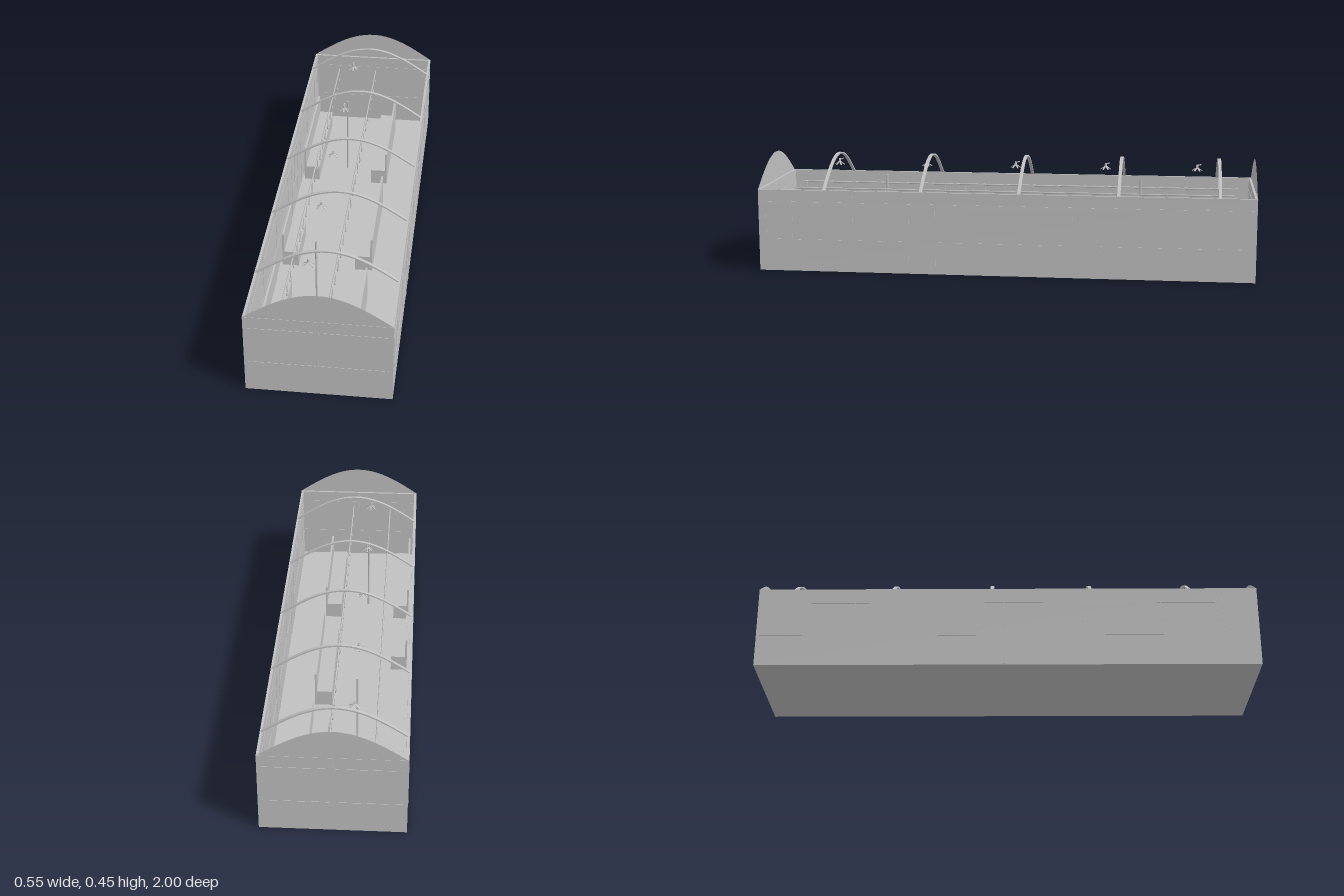
import * as THREE from 'three';

const W = 0.271, L = 0.998, H = 0.333, T = 0.01, RISE = 0.117;

export function createModel() {
  const root = new THREE.Group();
  root.name = 'carriage';
  const grey = new THREE.MeshStandardMaterial({ color: 0xc0c0c0, side: THREE.DoubleSide });
  grey.name = 'plain grey';

  const add = (name, geo, x = 0, y = 0, z = 0, parent = root) => {
    const m = new THREE.Mesh(geo, grey);
    m.name = name;
    m.position.set(x, y, z);
    parent.add(m);
    return m;
  };
  // Box given by its minimum and maximum corners
  const box = (name, x0, x1, y0, y1, z0, z1, parent) =>
    add(name, new THREE.BoxGeometry(x1 - x0, y1 - y0, z1 - z0),
      (x0 + x1) / 2, (y0 + y1) / 2, (z0 + z1) / 2, parent);

  // Shell
  box('floor', -W, W, 0, 0.004, -L, L);
  for (const s of [-1, 1]) {
    add('sideWall', new THREE.BoxGeometry(T, H, 2 * L), s * (W - T / 2), H / 2, 0);
    add('endWall', new THREE.BoxGeometry(2 * (W - T), H, T), 0, H / 2, s * (L - T / 2));
  }

  // Roof curve shared by the gables and the hoops
  const roofPoints = (half, rise) => {
    const pts = [];
    for (let i = 0; i <= 28; i++) {
      const t = -1 + i / 14;
      pts.push(new THREE.Vector2(t * half, H + rise * Math.cos(t * Math.PI / 2)));
    }
    return pts;
  };
  const gable = new THREE.ShapeGeometry(new THREE.Shape(roofPoints(W, RISE)));
  for (const s of [-1, 1]) add('gable', gable, 0, 0, s * (L - 0.001));

  const hoop = new THREE.ExtrudeGeometry(
    new THREE.Shape([...roofPoints(W - 0.003, RISE), ...roofPoints(W - 0.012, RISE - 0.006).reverse()]),
    { depth: 0.013, bevelEnabled: false });
  for (let i = 0; i < 5; i++) add('roofHoop', hoop, 0, 0, 0.72 - i * 0.395);

  // Raised strips, running through the wall so both faces show them
  const P = 0.0015;
  const sideStrip = (s, y0, y1, z0, z1, name = 'sideTrim') => {
    const a = s * (W + P), b = s * (W - T - P);
    box(name, Math.min(a, b), Math.max(a, b), y0, y1, z0, z1);
  };
  const endStrip = (s, x0, x1, y0, y1) => {
    const a = s * (L + P), b = s * (L - T - P);
    box('endTrim', x0, x1, y0, y1, Math.min(a, b), Math.max(a, b));
  };
  for (const s of [-1, 1]) {
    for (const h of [-1, 1]) {
      const x0 = h < 0 ? -0.255 : 0.01, x1 = h < 0 ? -0.01 : 0.255;
      endStrip(s, x0, x1, 0.27, 0.285);
      endStrip(s, x0, x1, 0.127, 0.131);
    }
    endStrip(s, -0.002, 0.002, 0.13, 0.32);
  }

  // Doors and window trim along each side
  const sides = [
    { s: 1, doors: [0.33, -0.33], posts: [0.97, 0.86, 0.61, 0.06, -0.61, -0.86, -0.97] },
    { s: -1, doors: [-0.07, -0.335], posts: [0.97, 0.86, 0.61, 0.3, -0.2, -0.61, -0.86, -0.97] },
  ];
  for (const { s, doors, posts } of sides) {
    sideStrip(s, 0.27, 0.285, -0.985, 0.985);
    let start = -0.985;
    for (const d of [...doors].sort((a, b) => a - b)) {
      sideStrip(s, 0.127, 0.131, start, d - 0.056);
      start = d + 0.056;
      for (const e of [-1, 1]) {
        const z = d + e * 0.054;
        sideStrip(s, 0.005, 0.28, z - 0.003, z + 0.003, 'doorPost');
      }
    }
    sideStrip(s, 0.127, 0.131, start, 0.985);
    for (const z of posts) sideStrip(s, 0.13, 0.315, z - 0.002, z + 0.002, 'windowPost');
  }

  // Benches: seat with a thin backrest
  const bench = (front, back, z0, z1) => {
    const g = new THREE.Group();
    g.name = 'bench';
    root.add(g);
    const d = Math.sign(front - back);
    box('benchSeat', Math.min(front, back), Math.max(front, back), 0.004, 0.07, z0, z1, g);
    const inner = back + d * 0.008;
    box('benchBack', Math.min(inner, back), Math.max(inner, back), 0.07, 0.155, z0, z1, g);
  };
  for (const [z0, z1] of [[-0.91, -0.42], [0.02, 0.235], [0.42, 0.885]]) bench(-0.183, -0.25, z0, z1);
  for (const [z0, z1] of [[-0.91, -0.42], [-0.245, 0.235], [0.42, 0.885]]) bench(0.05, 0.12, z0, z1);

  // Grab rails with hanging straps
  const rail = new THREE.CylinderGeometry(0.003, 0.003, 1.84, 8).rotateX(Math.PI / 2);
  const strap = new THREE.BoxGeometry(0.003, 0.045, 0.004);
  const ring = new THREE.TorusGeometry(0.008, 0.0022, 5, 12).rotateY(Math.PI / 2);
  for (const x of [-0.15, 0.02]) {
    add('grabRail', rail, x, 0.3, 0);
    for (let i = 0; i < 22; i++) {
      const z = -0.91 + i * 1.82 / 21;
      add('strap', strap, x, 0.278, z);
      add('strapRing', ring, x, 0.248, z);
    }
  }

  // Floor poles
  for (const z of [-0.535, 0.535])
    add('pole', new THREE.CylinderGeometry(0.004, 0.004, 0.346, 10), -0.067, 0.177, z);

  // Ceiling fans with drooping blades
  for (let i = 0; i < 5; i++) {
    const fan = new THREE.Group();
    fan.name = 'fan';
    fan.position.set(-0.067, 0.402, 0.74 - i * 0.3765);
    root.add(fan);
    add('fanHub', new THREE.CylinderGeometry(0.004, 0.005, 0.018, 8), 0, 0.004, 0, fan);
    const arm = add('fanArm', new THREE.BoxGeometry(0.004, 0.004, 0.018), 0, 0.011, -0.008, fan);
    arm.rotation.x = 0.3;
    const blade = new THREE.BoxGeometry(0.026, 0.002, 0.006).translate(0.013, 0, 0).rotateZ(-0.6);
    for (let k = 0; k < 6; k++) add('fanBlade', blade, 0, 0.002, 0, fan).rotation.y = k * Math.PI / 3 + Math.PI / 6;
  }
  return root;
}
